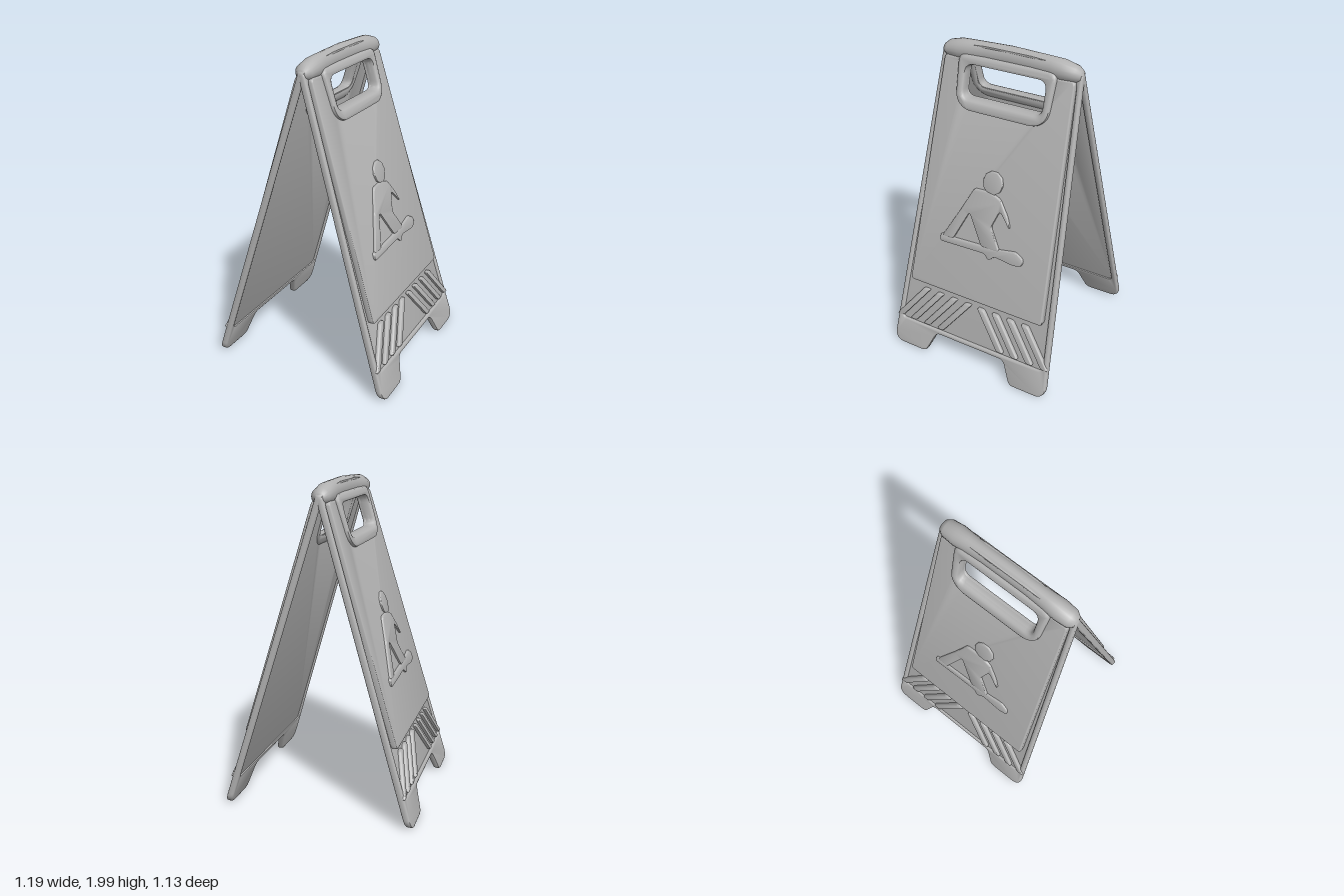
import * as THREE from 'three';
import { toCreasedNormals } from 'three/addons/utils/BufferGeometryUtils.js';

const plastic = new THREE.MeshStandardMaterial({ color: 0xb2b2b2 });
plastic.name = 'grey plastic';

// Closed outline with rounded corners
function rounded(points, radius, Type = THREE.Shape) {
  const path = new Type();
  const p = points.map(([x, y]) => new THREE.Vector2(x, y));
  p.forEach((c, i) => {
    const a = p[(i + p.length - 1) % p.length], b = p[(i + 1) % p.length];
    const toward = (q) => c.clone().add(q.clone().sub(c).setLength(Math.min(radius, c.distanceTo(q) * 0.45)));
    const s = toward(a), e = toward(b);
    if (i === 0) path.moveTo(s.x, s.y); else path.lineTo(s.x, s.y);
    path.quadraticCurveTo(c.x, c.y, e.x, e.y);
  });
  path.closePath();
  return path;
}

// Right half of an outline, completed by mirroring
const mirrored = (half) => [...half, ...half.map(([x, y]) => [-x, y]).reverse()];

// Extrude from depth t0 to t1, then lean the plate back toward the ridge
function leaning(name, shape, t0, t1, bevel = 0.01) {
  const geo = new THREE.ExtrudeGeometry(shape, {
    depth: t1 - t0 - 2 * bevel, bevelEnabled: true, bevelThickness: bevel,
    bevelSize: bevel, bevelOffset: -bevel, bevelSegments: 2, curveSegments: 5,
  });
  geo.translate(0, 0, t0 + bevel);
  geo.rotateY(Math.PI / 2);
  const pos = geo.attributes.position;
  for (let i = 0; i < pos.count; i++) pos.setX(i, pos.getX(i) + 0.56 - 0.304 * pos.getY(i));
  const mesh = new THREE.Mesh(toCreasedNormals(geo, 0.8), plastic);
  mesh.name = name;
  return mesh;
}

const boardOutline = mirrored([
  [0.25, 0.155], [0.315, 0.01], [0.53, 0.01], [0.568, 0.05], [0.46, 1.93], [0.38, 1.965], [0.15, 1.985],
]);
const gripHole = () => rounded(mirrored([[0.265, 1.67], [0.265, 1.865]]), 0.05, THREE.Path);

function createBoard() {
  const board = new THREE.Group();

  // Outer frame with feet
  const frame = rounded(boardOutline, 0.03);
  frame.holes.push(rounded(mirrored([[0.525, 0.185], [0.43, 1.88]]), 0.03, THREE.Path));
  board.add(leaning('frame', frame, 0, 0.044, 0.012));

  // Thin web closing the frame
  const web = rounded(mirrored([[0.535, 0.17], [0.435, 1.91]]), 0.02);
  web.holes.push(gripHole());
  board.add(leaning('web', web, 0.012, 0.032, 0.003));

  // Raised sign panel
  const panel = rounded(mirrored([[0.482, 0.475], [0.43, 1.89]]), 0.025);
  panel.holes.push(gripHole());
  board.add(leaning('signPanel', panel, 0.02, 0.068, 0.01));

  // Swollen rim around the grip opening
  const rim = rounded(mirrored([[0.24, 1.605], [0.31, 1.66], [0.325, 1.92]]), 0.05);
  rim.holes.push(gripHole());
  board.add(leaning('gripRim', rim, 0.005, 0.09, 0.018));

  // Slanted ribs meeting in a chevron
  for (const side of [-1, 1]) {
    for (let i = 0; i < 4; i++) {
      const low = 0.2 + i * 0.105;
      const high = low - 0.18;
      const rib = [[low, 0.2], [low + 0.05, 0.2], [high + 0.05, 0.43], [high, 0.43]];
      const pts = rib.map(([x, y]) => [side * x, y]);
      board.add(leaning('rib', rounded(side > 0 ? pts : pts.reverse(), 0.015), 0.02, 0.054, 0.008));
    }
  }

  // Embossed slipping figure
  const head = new THREE.Shape().absarc(0.02, 1.23, 0.07, 0, Math.PI * 2);
  const body = rounded([
    [-0.28, 0.83], [-0.2, 0.83], [-0.11, 1.02], [0, 0.84], [0.13, 0.84], [0.05, 0.97],
    [0.095, 1.08], [0.18, 0.99], [0.15, 1.06], [0.085, 1.15], [0.01, 1.175], [-0.1, 1.17], [-0.17, 1.03],
  ], 0.02);
  const floor = rounded([
    [-0.295, 0.79], [0.03, 0.8], [0.065, 0.765], [0.1, 0.8], [0.24, 0.785], [0.295, 0.8],
    [0.295, 0.84], [0.24, 0.87], [0.12, 0.85], [-0.2, 0.835], [-0.295, 0.84],
  ], 0.02);
  board.add(leaning('figureHead', head, 0.055, 0.08, 0.006));
  board.add(leaning('figureBody', body, 0.055, 0.082, 0.006));
  board.add(leaning('figureFloor', floor, 0.055, 0.08, 0.006));
  return board;
}

export function createModel() {
  const model = new THREE.Group();
  model.name = 'foldingFloorSign';

  // Two identical boards leaning on each other
  ['leftBoard', 'rightBoard'].forEach((name, i) => {
    const board = createBoard();
    board.name = name;
    board.rotation.y = i * Math.PI;
    model.add(board);
  });

  // Handle along the ridge, arched and thicker at its ends
  const profile = [
    [0, -0.455], [0.035, -0.45], [0.056, -0.42], [0.062, -0.34], [0.056, -0.27], [0.05, -0.15], [0.05, 0],
    [0.05, 0.15], [0.056, 0.27], [0.062, 0.34], [0.056, 0.42], [0.035, 0.45], [0, 0.455],
  ].map(([r, z]) => new THREE.Vector2(r, z));
  const geo = new THREE.LatheGeometry(profile, 20);
  geo.rotateX(Math.PI / 2);
  const pos = geo.attributes.position;
  for (let i = 0; i < pos.count; i++) {
    const z = pos.getZ(i);
    pos.setY(i, 1.932 + pos.getY(i) * (1.36 - 2.6 * z * z) - 0.1 * z * z);
  }
  geo.computeVertexNormals();
  const handle = new THREE.Mesh(geo, plastic);
  handle.name = 'handle';
  model.add(handle);
  return model;
}
